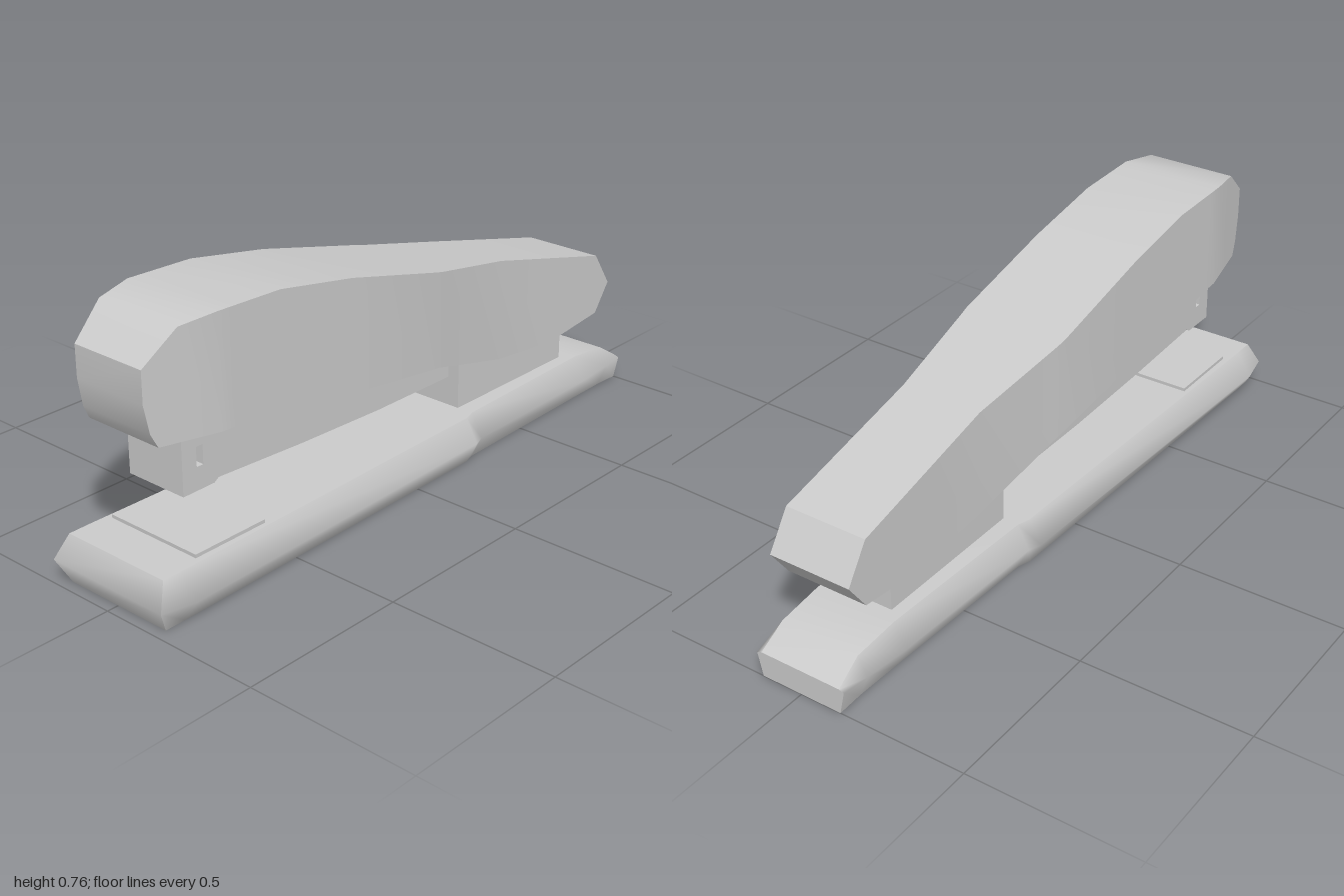
import * as THREE from 'three';
import { mergeGeometries, toCreasedNormals } from 'three/addons/utils/BufferGeometryUtils.js';

const material = new THREE.MeshStandardMaterial({ color: 0xcccccc });

function mesh(name, geometry) {
  const m = new THREE.Mesh(geometry, material);
  m.name = name;
  return m;
}

// Surface patch through rows of [x, y, z] points, smooth within itself
function patch(rows) {
  const n = rows[0].length, index = [];
  for (let i = 0; i < rows.length - 1; i++) {
    for (let j = 0; j < n - 1; j++) {
      const a = i * n + j, d = a + n;
      index.push(a, a + 1, d + 1, a, d + 1, d);
    }
  }
  const g = new THREE.BufferGeometry();
  g.setAttribute('position', new THREE.Float32BufferAttribute(rows.flat(2), 3));
  g.setIndex(index);
  g.computeVertexNormals();
  return g;
}

// Linear interpolation in a list of [z, value], z ascending
function sample(list, z) {
  if (z <= list[0][0]) return list[0][1];
  for (let i = 1; i < list.length; i++) {
    const [z0, v0] = list[i - 1], [z1, v1] = list[i];
    if (z <= z1) return v0 + (v1 - v0) * (z - z0) / (z1 - z0);
  }
  return list[list.length - 1][1];
}

function box(name, w, y0, y1, z0, z1) {
  const g = new THREE.BoxGeometry(w, y1 - y0, z1 - z0);
  g.translate(0, (y0 + y1) / 2, (z0 + z1) / 2);
  return mesh(name, g);
}

// Tapered base with pointed, softly shaded flanks
function base() {
  // z of edges, z of ridge, half-width of edges, half-width of ridge, top y
  const stations = [
    [-1, -1, 0.125, 0.14, 0.075],
    [-0.92, -0.92, 0.122, 0.15, 0.125],
    [-0.78, -0.78, 0.125, 0.163, 0.14],
    [-0.26, -0.26, 0.14, 0.176, 0.14],
    [-0.22, -0.22, 0.152, 0.19, 0.14],
    [0.9, 0.9, 0.174, 0.222, 0.14],
    [0.965, 1, 0.174, 0.2, 0.14],
  ];
  const flank = s => ([ze, zm, we, wm, top]) => [[s * we, 0, ze], [s * wm, 0.07, zm], [s * we, top, ze]];
  const right = stations.map(flank(1)), left = stations.map(flank(-1));
  const last = stations.length - 1;
  const levels = [0, 1, 2];
  return mergeGeometries([
    patch(right),
    patch(left.map(r => [...r].reverse())),
    patch(right.map((r, i) => [r[2], left[i][2]])),
    patch(right.map((r, i) => [left[i][0], r[0]])),
    patch(levels.map(k => [left[last][k], right[last][k]])),
    patch(levels.map(k => [right[0][k], left[0][k]])),
  ]);
}

// Handle lofted from its upper line, lower line and half-width
function handle() {
  const top = [[-0.94, 0.34], [-0.87, 0.445], [-0.4, 0.56], [-0.1, 0.622], [0.27, 0.712],
    [0.53, 0.758], [0.74, 0.765], [0.85, 0.753], [0.95, 0.67]];
  const bottom = [[-0.94, 0.34], [-0.88, 0.255], [-0.65, 0.23], [-0.4, 0.255], [-0.08, 0.345],
    [0.37, 0.4], [0.69, 0.447], [0.915, 0.46], [0.935, 0.5], [0.95, 0.58]];
  const width = [[-0.94, 0.124], [-0.4, 0.122], [-0.07, 0.16], [0.74, 0.16], [0.85, 0.138], [0.95, 0.118]];
  const zs = [...new Set([...top, ...bottom, ...width].map(p => p[0]))].sort((a, b) => a - b);
  const rings = zs.map(z => {
    const t = sample(top, z), b = sample(bottom, z), w = sample(width, z);
    return [[-w, b, z], [w, b, z], [w, t, z], [-w, t, z], [-w, b, z]];
  });
  const f = rings[rings.length - 1];
  const g = mergeGeometries([patch(rings), patch([[f[0], f[1]], [f[3], f[2]]])]);
  return toCreasedNormals(g, 0.68);
}

// Side wall of the staple channel, with a small slot near the front
function channelWall(side) {
  const s = new THREE.Shape([[0.82, 0.28], [0.82, 0.47], [0.4, 0.43], [-0.08, 0.37], [-0.2, 0.33],
    [-0.2, 0.26], [0.1, 0.262], [0.4, 0.273], [0.7, 0.29], [0.715, 0.28]]
    .map(([z, y]) => new THREE.Vector2(-z, y)));
  s.holes.push(new THREE.Path([[0.75, 0.345], [0.75, 0.4], [0.772, 0.4], [0.772, 0.345]]
    .map(([z, y]) => new THREE.Vector2(-z, y))));
  const thick = 0.028;
  const g = new THREE.ExtrudeGeometry(s, { depth: thick, bevelEnabled: false });
  g.rotateY(Math.PI / 2); // shape x becomes -z, depth becomes x
  g.translate(side > 0 ? 0.07 : -0.07 - thick, 0, 0);
  return g;
}

export function createModel() {
  const model = new THREE.Group();
  model.name = 'stapler';
  model.add(mesh('base', base()));
  model.add(box('anvilPlate', 0.31, 0.135, 0.15, 0.6, 0.84));
  model.add(box('pivotBlock', 0.18, 0.13, 0.31, -0.745, -0.255));
  model.add(mesh('handle', handle()));

  const magazine = new THREE.Group();
  magazine.name = 'magazine';
  magazine.add(mesh('leftWall', channelWall(1)), mesh('rightWall', channelWall(-1)));
  magazine.add(box('channelCore', 0.142, 0.282, 0.34, -0.198, 0.7));
  magazine.add(box('frontPlate', 0.142, 0.28, 0.47, 0.7, 0.82));
  model.add(magazine);
  return model;
}
